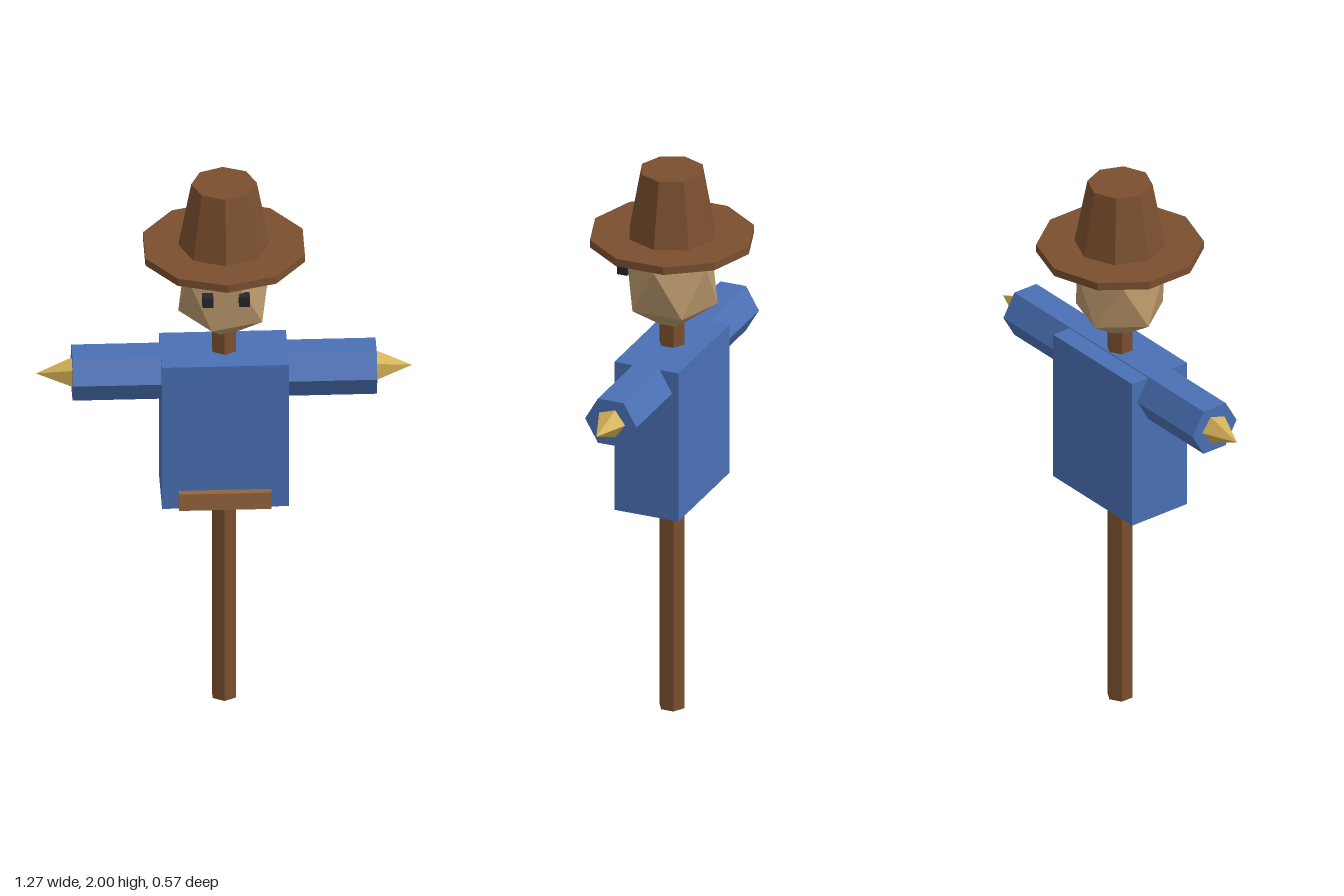
import * as THREE from 'three';
import { ConvexGeometry } from 'three/addons/geometries/ConvexGeometry.js';

const mat = (color) => new THREE.MeshStandardMaterial({ color, flatShading: true });

export function createModel() {
  const model = new THREE.Group();
  model.name = 'scarecrow';

  const wood = mat(0x7a4f2e);
  const cloth = mat(0x4a70b5);
  const straw = mat(0xd2b055);
  const sack = mat(0xb8966a);
  const dark = mat(0x26262c);
  const leather = mat(0x96643c);

  const add = (name, geometry, material, x, y, z) => {
    const mesh = new THREE.Mesh(geometry, material);
    mesh.name = name;
    mesh.position.set(x, y, z);
    model.add(mesh);
    return mesh;
  };

  // Hexagonal pole running up into the head
  add('pole', new THREE.CylinderGeometry(0.046, 0.046, 1.5, 6), wood, 0, 0.75, 0);

  // Shirt body and the belt patch at its lower front
  add('torso', new THREE.BoxGeometry(0.43, 0.552, 0.236), cloth, 0, 1.076, 0);
  add('belt', new THREE.BoxGeometry(0.314, 0.064, 0.044), leather, -0.002, 0.837, 0.121);

  // Sleeves: one hexagonal tube through the torso
  add('sleeves', new THREE.CylinderGeometry(0.095, 0.095, 1.03, 6).rotateZ(Math.PI / 2),
    cloth, 0, 1.273, 0);

  // Five-sided straw hands and square eyes, mirrored
  for (const side of [1, -1]) {
    const label = side > 0 ? 'left' : 'right';
    const hand = new THREE.ConeGeometry(0.053, 0.122, 5)
      .rotateY(Math.PI)
      .rotateZ(-side * Math.PI / 2);
    add(label + 'Hand', hand, straw, side * 0.576, 1.273, 0);
    add(label + 'Eye', new THREE.BoxGeometry(0.037, 0.037, 0.037), dark, side * 0.062, 1.631, 0.15);
  }

  // Head: slightly stretched icosahedron with its poles on the vertical axis
  const points = [new THREE.Vector3(0, 0.19, 0), new THREE.Vector3(0, -0.19, 0)];
  for (let i = 0; i < 5; i++) {
    const a = (i / 5) * Math.PI * 2;
    const x = 0.155 * Math.cos(a), z = 0.155 * Math.sin(a);
    points.push(new THREE.Vector3(x, 0.085, z), new THREE.Vector3(-x, -0.085, z));
  }
  add('head', new ConvexGeometry(points), sack, 0, 1.592, 0);

  // Hat: ten-sided brim and tapered eight-sided crown
  add('hatBrim', new THREE.CylinderGeometry(0.284, 0.284, 0.028, 10), wood, 0, 1.751, 0);
  add('hatCrown', new THREE.CylinderGeometry(0.111, 0.156, 0.24, 8), wood, 0, 1.88, 0);

  return model;
}
